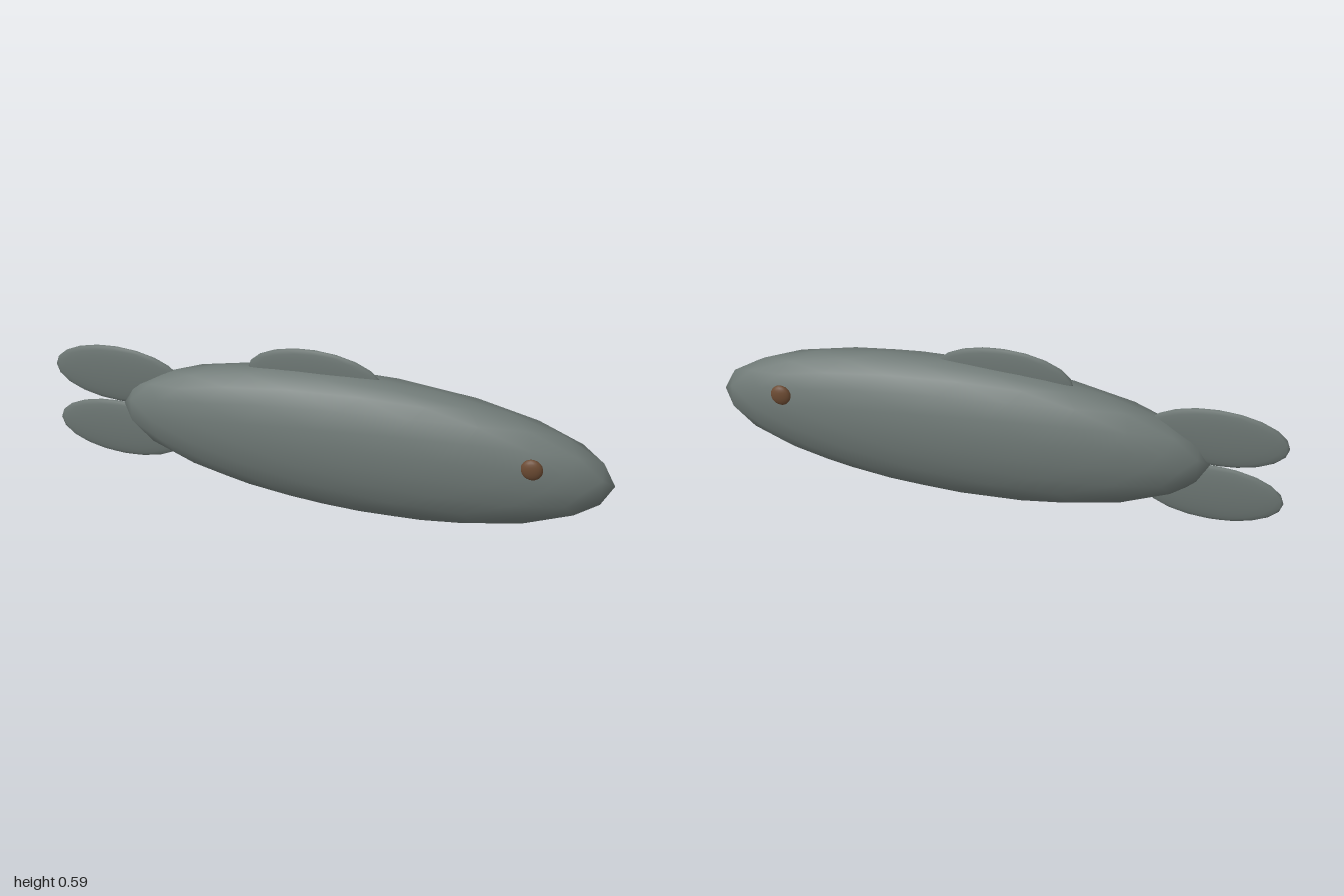
import * as THREE from 'three';

export function createModel() {
  const fish = new THREE.Group();
  fish.name = 'fish';

  const skin = new THREE.MeshStandardMaterial({ color: 0x6e7875 });
  skin.name = 'grey green skin';
  const iris = new THREE.MeshStandardMaterial({ color: 0x6b4a32 });
  iris.name = 'brown eye';

  // Faceted ball with poles on z, stretched to the given half sizes
  function ellipsoid(name, material, [x, y, z], [rx, ry, rz], detail = 3) {
    const geometry = new THREE.IcosahedronGeometry(1, detail);
    geometry.rotateX(Math.atan(2 / (1 + Math.sqrt(5))));
    geometry.rotateZ(Math.PI / 2);
    geometry.scale(rx, ry, rz);
    const mesh = new THREE.Mesh(geometry, material);
    mesh.name = name;
    mesh.position.set(x, y, z);
    fish.add(mesh);
  }

  ellipsoid('body', skin, [0.124, 0.268, 0], [0.871, 0.262, 0.157]);

  // Flat oval fins
  const fin = [0.24, 0.11, 0.017];
  ellipsoid('dorsalFin', skin, [-0.035, 0.49, 0], fin);
  ellipsoid('upperTailFin', skin, [-0.76, 0.38, 0], fin);
  ellipsoid('lowerTailFin', skin, [-0.76, 0.16, 0], fin);

  // Eyes on both flanks
  for (const side of [1, -1]) {
    ellipsoid(side > 0 ? 'frontEye' : 'backEye', iris, [0.735, 0.345, side * 0.103], [0.037, 0.038, 0.018]);
  }

  return fish;
}
